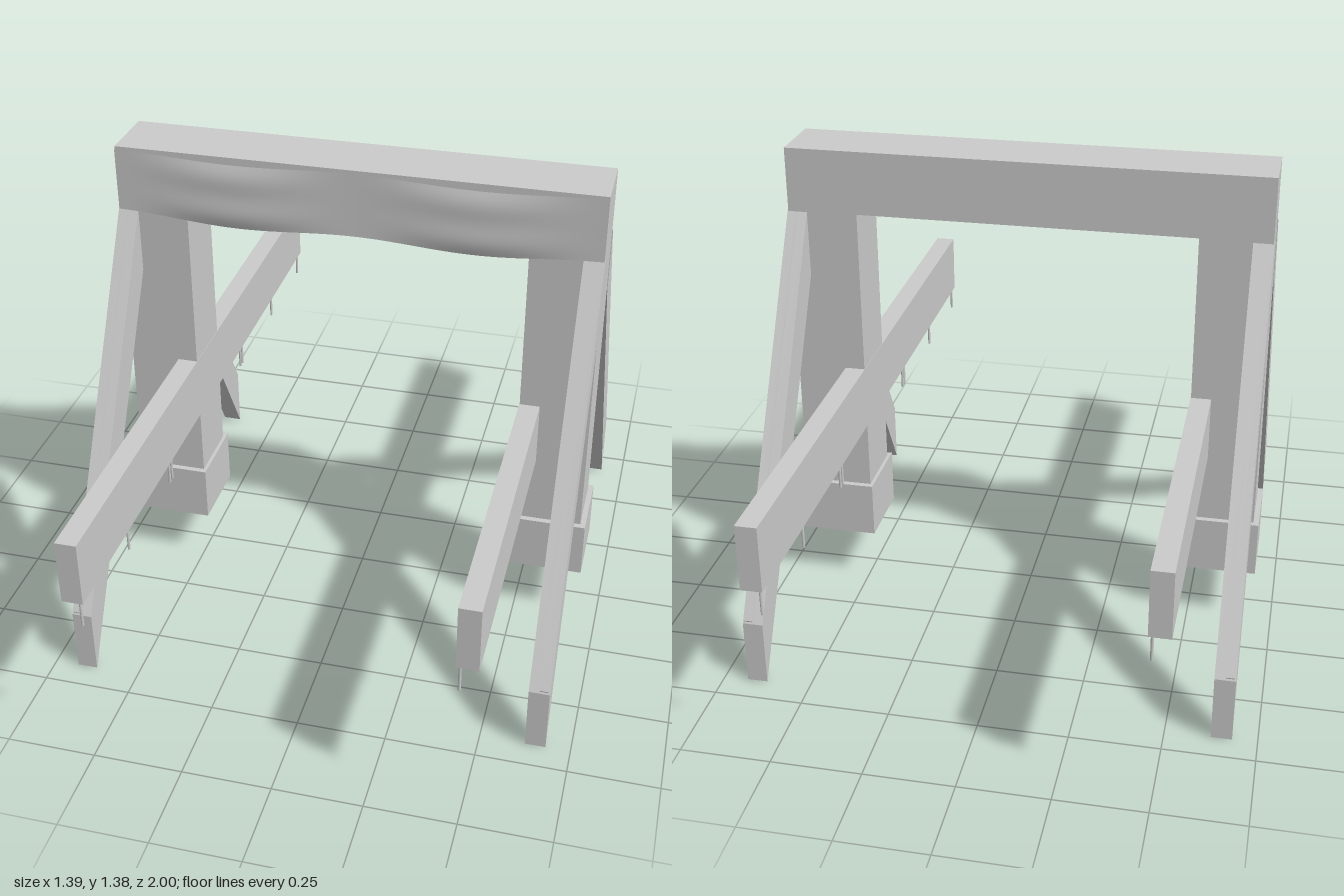
import * as THREE from 'three';

const grey = new THREE.MeshStandardMaterial({ color: 0xcccccc });
const thin = new THREE.MeshStandardMaterial({ color: 0xcccccc, side: THREE.DoubleSide });

// Box given by its extents on each axis
function box(name, [x0, x1], [y0, y1], [z0, z1]) {
  const mesh = new THREE.Mesh(new THREE.BoxGeometry(x1 - x0, y1 - y0, z1 - z0), grey);
  mesh.position.set((x0 + x1) / 2, (y0 + y1) / 2, (z0 + z1) / 2);
  mesh.name = name;
  return mesh;
}

// Slab with a side profile in (z, y), spanning x0..x1
function sideSlab(name, points, x0, x1) {
  const shape = new THREE.Shape(points.map(([z, y]) => new THREE.Vector2(-z, y)));
  const geo = new THREE.ExtrudeGeometry(shape, { depth: x1 - x0, bevelEnabled: false });
  geo.rotateY(Math.PI / 2);
  const mesh = new THREE.Mesh(geo, grey);
  mesh.position.x = x0;
  mesh.name = name;
  return mesh;
}

// Draped cloth hanging in two swags on the front of the beam
function drape() {
  const geo = new THREE.PlaneGeometry(1.36, 1, 64, 20);
  const p = geo.attributes.position;
  for (let i = 0; i < p.count; i++) {
    const x = p.getX(i), v = 0.5 - p.getY(i); // v runs 0 at the top to 1 at the hem
    const swag = Math.pow(Math.sin((Math.PI * x) / 0.68), 2);
    const top = 1.372 - 0.012 * swag;
    const hem = 1.193 - 0.017 * swag - 0.006 * Math.cos((x / 0.68) * Math.PI / 2);
    const fold = Math.sin(Math.PI * v) * 0.011 + Math.sin(v * Math.PI * 3) * 0.003;
    p.setXYZ(i, x, top + (hem - top) * v, 0.097 + swag * fold);
  }
  geo.computeVertexNormals();
  const mesh = new THREE.Mesh(geo, thin);
  mesh.name = 'drape';
  return mesh;
}

export function createModel() {
  const model = new THREE.Group();
  model.name = 'frame';

  // Top beam and cloth
  model.add(box('beam', [-0.68, 0.68], [1.197, 1.38], [-0.093, 0.093]), drape());

  for (const s of [1, -1]) {
    const side = new THREE.Group();
    side.name = s > 0 ? 'leftSide' : 'rightSide';
    const span = (a, b) => (s > 0 ? [a, b] : [-b, -a]);

    // Post with its block foot
    side.add(box('post', span(0.48, 0.68), [0.155, 1.197], [-0.093, 0.093]));
    side.add(box('postFoot', span(0.47, 0.695), [0.165, 0.33], [-0.11, 0.11]));

    // Long horizontal rail
    side.add(box('rail', span(0.479, 0.537), [0.532, 0.717], [-1, 1]));

    // Pegs under the rail
    for (const z of [-0.987, -0.667, -0.341, -0.321, 0.327, 0.347, 0.67, 0.993]) {
      const peg = new THREE.Mesh(new THREE.CylinderGeometry(0.004, 0.004, 0.08, 8), grey);
      peg.position.set(s * 0.489, 0.497, z);
      peg.name = 'peg';
      side.add(peg);
    }

    // Sloping braces, front and back, each with a narrow strip along the top
    for (const f of [1, -1]) {
      const along = (pts) => pts.map(([z, y]) => [f * z, y]);
      side.add(sideSlab('brace',
        along([[0.09, 1.2], [0.09, 1.01], [0.675, 0], [0.675, 0.19]]), ...span(0.625, 0.682)));
      side.add(sideSlab('braceStrip',
        along([[0.1, 1.188], [0.1, 1.16], [0.668, 0.18], [0.673, 0.198]]), ...span(0.655, 0.677)));
    }
    model.add(side);
  }
  return model;
}
